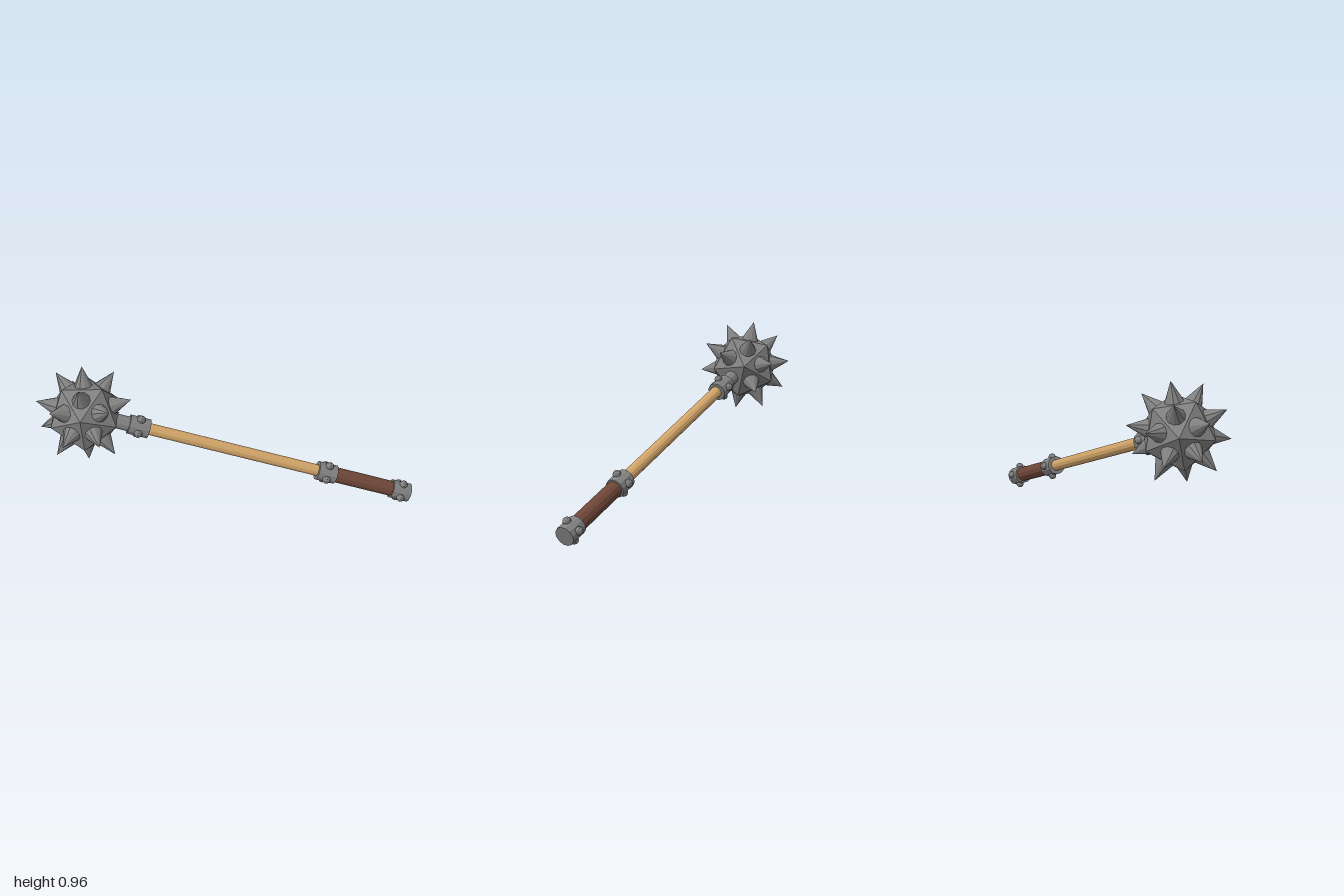
import * as THREE from 'three';

export function createModel() {
  const model = new THREE.Group();
  model.name = 'spikedMace';

  const makeMat = (name, color) => {
    const m = new THREE.MeshStandardMaterial({ color, flatShading: true });
    m.name = name;
    return m;
  };
  const iron = makeMat('iron', 0x808080);
  const wood = makeMat('wood', 0xd2a568);
  const leather = makeMat('leather', 0x6e4638);

  // The mace is built upright along local y, pommel at 0, then tilted at the end
  const mace = new THREE.Group();
  mace.name = 'mace';
  model.add(mace);

  const add = (name, geometry, material, parent = mace) => {
    const mesh = new THREE.Mesh(geometry, material);
    mesh.name = name;
    parent.add(mesh);
    return mesh;
  };
  const rod = (name, r, y0, y1, material) => {
    const mesh = add(name, new THREE.CylinderGeometry(r, r, y1 - y0, 12), material);
    mesh.position.y = (y0 + y1) / 2;
    return mesh;
  };

  // Handle
  rod('shaft', 0.034, 0.5, 1.63, wood);
  rod('grip', 0.045, 0.05, 0.51, leather);
  rod('neck', 0.042, 1.62, 1.79, iron);

  // Collars, each with four round studs
  const studGeometry = new THREE.SphereGeometry(0.023, 10, 7);
  const collars = [['pommelCollar', 0, 0.11], ['gripCollar', 0.46, 0.57], ['headCollar', 1.57, 1.685]];
  for (const [name, y0, y1] of collars) {
    rod(name, 0.055, y0, y1, iron);
    for (let i = 0; i < 4; i++) {
      const a = (i * Math.PI) / 2;
      const stud = add(name + 'Stud', studGeometry, iron);
      stud.position.set(0.056 * Math.cos(a), (y0 + y1) / 2, 0.056 * Math.sin(a));
    }
  }

  // Head: an icosahedron with one face turned square to the handle
  const head = new THREE.Group();
  head.name = 'head';
  head.position.y = 1.929;
  mace.add(head);
  const ball = new THREE.IcosahedronGeometry(0.208, 0);
  const pos = ball.attributes.position;
  const corner = (i) => new THREE.Vector3().fromBufferAttribute(pos, i);
  const faceCentre = (f) =>
    corner(f * 3).add(corner(f * 3 + 1)).add(corner(f * 3 + 2)).divideScalar(3);
  const n = faceCentre(0).normalize();
  const side = corner(0).projectOnPlane(n).normalize();
  const from = new THREE.Matrix4().makeBasis(side, n, side.clone().cross(n));
  const to = new THREE.Matrix4().makeBasis(
    new THREE.Vector3(-1, 0, 0), new THREE.Vector3(0, -1, 0), new THREE.Vector3(0, 0, 1));
  ball.applyMatrix4(to.multiply(from.transpose()));
  add('ball', ball, iron, head);

  // One spike per face, except where the neck enters
  const spikeGeometry = new THREE.ConeGeometry(0.052, 0.115, 10);
  const up = new THREE.Vector3(0, 1, 0);
  for (let f = 0; f < pos.count / 3; f++) {
    const dir = faceCentre(f).normalize();
    if (dir.y < -0.99) continue;
    const spike = add('spike', spikeGeometry, iron, head);
    spike.position.copy(dir).multiplyScalar(0.2175);
    spike.quaternion.setFromUnitVectors(up, dir);
  }

  // Tilt the whole mace into its resting pose
  const axis = new THREE.Vector3(-1.735, 0.63, -0.56).normalize();
  const u = new THREE.Vector3(0.26, 0.93, 0.25).projectOnPlane(axis).normalize();
  mace.quaternion.setFromRotationMatrix(
    new THREE.Matrix4().makeBasis(u, axis, u.clone().cross(axis)));
  mace.position.set(0.975, 0.055, 0.385);

  return model;
}
